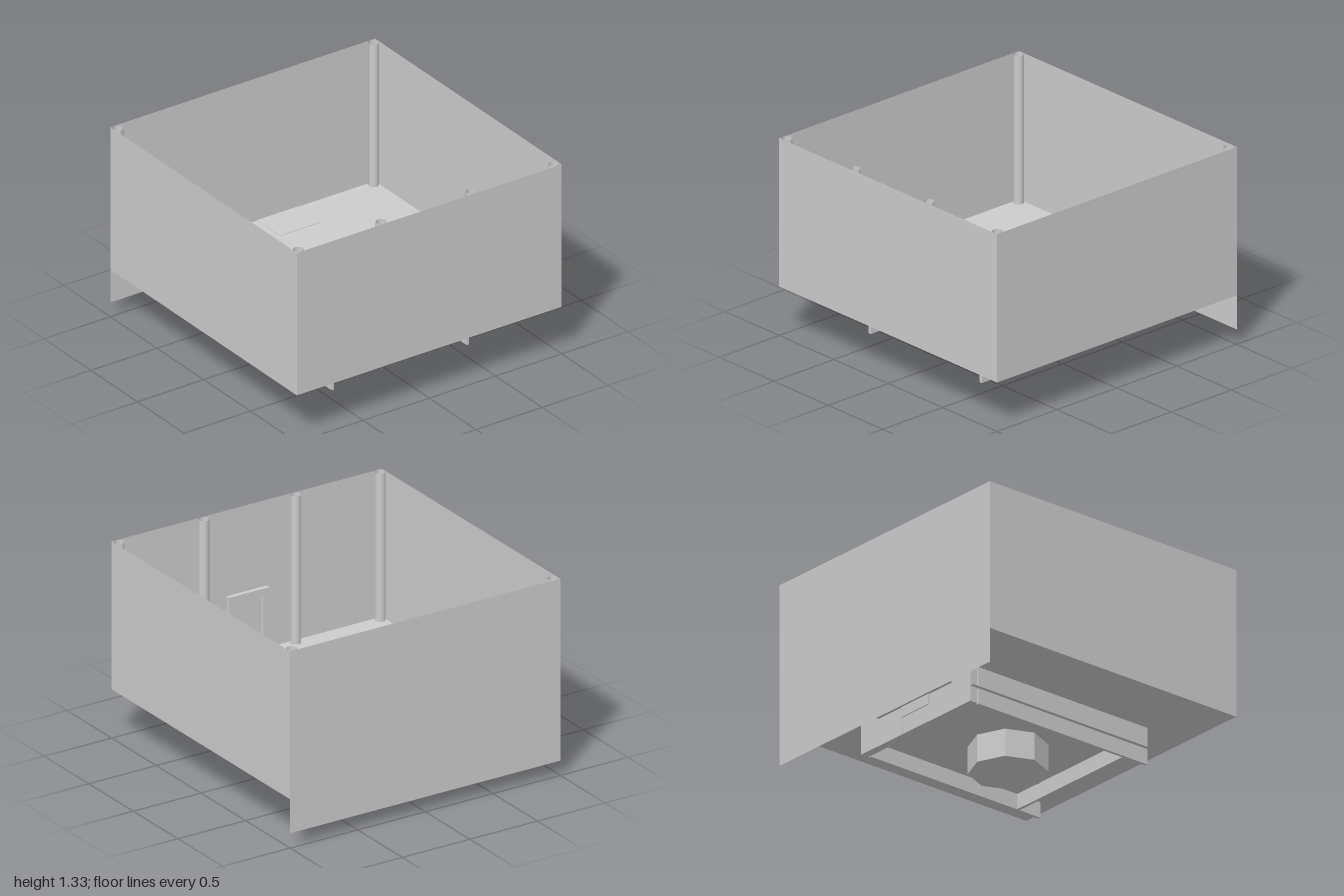
import * as THREE from 'three';

export function createModel() {
  const root = new THREE.Group();
  const grey = new THREE.MeshStandardMaterial({ color: 0xcccccc, side: THREE.DoubleSide });
  grey.name = 'plain grey';

  const FLOOR = 0.33, TOP = 1.33, DECK = 0.185, BASE = 0.08;

  function add(name, geometry, x = 0, y = 0, z = 0) {
    const mesh = new THREE.Mesh(geometry, grey);
    mesh.name = name;
    mesh.position.set(x, y, z);
    root.add(mesh);
    return mesh;
  }
  // Box given by its minimum and maximum corners
  function block(name, x0, x1, y0, y1, z0, z1) {
    return add(name, new THREE.BoxGeometry(x1 - x0, y1 - y0, z1 - z0),
      (x0 + x1) / 2, (y0 + y1) / 2, (z0 + z1) / 2);
  }
  // Horizontal sheet centred on the origin
  function sheet(name, w, d, y) {
    return add(name, new THREE.PlaneGeometry(w, d).rotateX(-Math.PI / 2), 0, y, 0);
  }
  // Rectangular frame, extruded along z
  function frame(name, w, h, border, bottom, depth, y, z) {
    const shape = new THREE.Shape([
      new THREE.Vector2(-w / 2, 0), new THREE.Vector2(w / 2, 0),
      new THREE.Vector2(w / 2, h), new THREE.Vector2(-w / 2, h)]);
    const a = w / 2 - border;
    shape.holes.push(new THREE.Path([
      new THREE.Vector2(-a, bottom), new THREE.Vector2(-a, h - border),
      new THREE.Vector2(a, h - border), new THREE.Vector2(a, bottom)]));
    return add(name, new THREE.ExtrudeGeometry(shape, { depth, bevelEnabled: false }), 0, y, z);
  }

  // Open-topped room: thin walls, the back one reaching lower
  sheet('floor', 2, 2, FLOOR);
  add('frontWall', new THREE.PlaneGeometry(2, TOP - FLOOR), 0, (TOP + FLOOR) / 2, 1);
  add('backWall', new THREE.PlaneGeometry(2, TOP - 0.1).rotateY(Math.PI), 0, (TOP + 0.1) / 2, -1);
  for (const s of [-1, 1]) {
    add(s > 0 ? 'leftWall' : 'rightWall',
      new THREE.PlaneGeometry(2, TOP - FLOOR).rotateY(s * Math.PI / 2), s, (TOP + FLOOR) / 2, 0);
  }

  // Open tubular columns in the corners and on the front wall
  const column = new THREE.CylinderGeometry(0.034, 0.034, TOP - FLOOR, 16, 1, true);
  for (const s of [-1, 1]) {
    for (const [x, z] of [[0.966, 0.966], [0.966, -0.966], [0.34, 0.966]]) {
      add('column', column, s * x, (TOP + FLOOR) / 2, z);
    }
  }

  // Door frame inside the front wall
  frame('doorFrame', 0.3, 0.42, 0.045, 0.03, 0.03, FLOOR, 0.97);

  // Undercarriage deck and octagonal foot
  sheet('deck', 1.09, 1.5, DECK);
  const foot = add('foot', new THREE.CylinderGeometry(0.25, 0.25, DECK, 8).toNonIndexed(), 0, DECK / 2, 0);
  foot.geometry.computeVertexNormals();

  // Skirt around the foot: side rails, front panel and back panel
  for (const s of [-1, 1]) {
    block('sideRail', s > 0 ? 0.5 : -0.52, s > 0 ? 0.52 : -0.5, BASE, FLOOR, -0.685, 0.69);
  }
  block('frontPanel', -0.5, 0.5, BASE, FLOOR, 0.5, 0.52);
  block('backPanel', -0.52, 0.52, BASE, FLOOR, -0.75, -0.695);

  // Hatch on the back panel, with a plate on each side
  block('hatchPlate', -0.13, 0.13, 0.195, 0.265, -0.756, -0.75);
  block('innerHatchPlate', -0.13, 0.13, 0.195, 0.265, -0.695, -0.687);
  for (const s of [-1, 1]) {
    block('hatchEdge', s * 0.13 - 0.004, s * 0.13 + 0.004, BASE, 0.195, -0.753, -0.75);
  }

  // Beam under the floor joining the back panel to the back wall
  block('rearBeam', -0.35, 0.35, 0.265, FLOOR - 0.001, -1, -0.75);

  // Thin floor plates near the back wall and the stepped strip towards the middle
  for (const s of [-1, 1]) {
    for (const [a, b] of [[0.11, 0.21], [0.21, 0.35], [0.35, 0.42]]) {
      block('floorPlate', Math.min(s * a, s * b), Math.max(s * a, s * b), FLOOR, FLOOR + 0.003, -1, -0.755);
    }
  }
  const steps = [-0.75, -0.69, -0.61, -0.55, -0.41, -0.35];
  for (let i = 0; i < steps.length - 1; i++) {
    block('floorStrip', -0.14, 0.14, FLOOR, FLOOR + 0.003, steps[i], steps[i + 1]);
  }
  return root;
}
